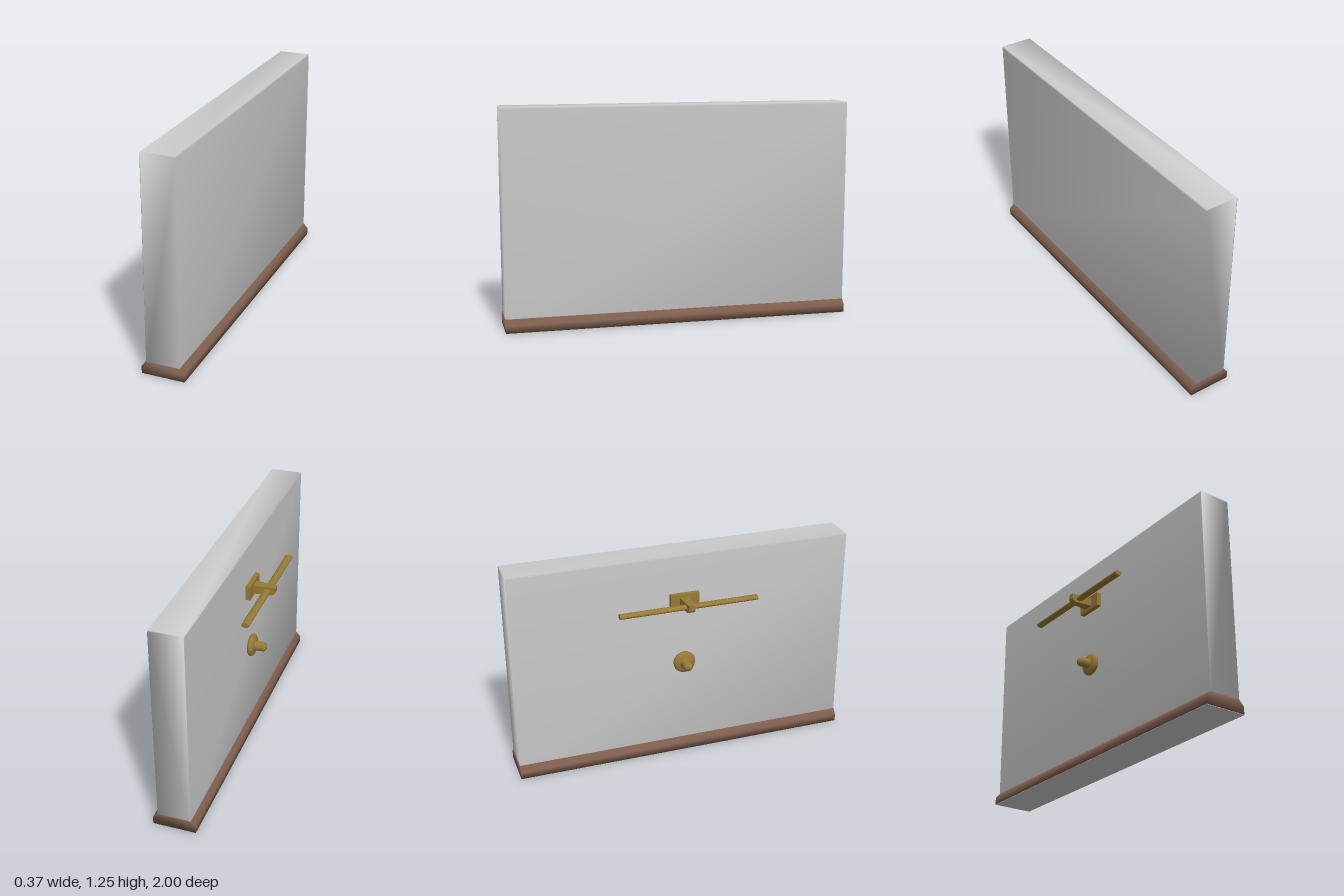
import * as THREE from 'three';
import { mergeVertices } from 'three/addons/utils/BufferGeometryUtils.js';

const grey = new THREE.MeshStandardMaterial({ color: 0xcccccc });
const brown = new THREE.MeshStandardMaterial({ color: 0x80604f });
const brass = new THREE.MeshStandardMaterial({ color: 0x967a35 });

// Extrude an x-y outline along z, centred on z = 0
function prism(points, depth) {
  const shape = new THREE.Shape(points.map(([x, y]) => new THREE.Vector2(x, y)));
  return new THREE.ExtrudeGeometry(shape, { depth, bevelEnabled: false, curveSegments: 8 })
    .translate(0, 0, -depth / 2);
}

// Share corners so that shading runs smoothly over the edges
function soften(geometry) {
  geometry.deleteAttribute('normal');
  geometry.deleteAttribute('uv');
  const merged = mergeVertices(geometry, 1e-4);
  merged.computeVertexNormals();
  return merged;
}

export function createModel() {
  const model = new THREE.Group();
  model.name = 'wallWithFixtures';

  function add(name, geometry, material, parent = model) {
    const mesh = new THREE.Mesh(geometry, material);
    mesh.name = name;
    parent.add(mesh);
    return mesh;
  }

  // Wall slab with eased top edges
  add('wall', soften(prism([
    [-0.035, 0.01], [0.157, 0.01], [0.157, 1.24], [0.153, 1.25],
    [-0.031, 1.25], [-0.035, 1.24],
  ], 1.998)), grey);

  // Skirting with chamfered top edges, and its plain underside
  add('skirting', soften(prism([
    [-0.062, 0.002], [0.185, 0.002], [0.185, 0.045], [0.157, 0.076],
    [-0.035, 0.076], [-0.062, 0.045],
  ], 2)), brown);
  add('underside', new THREE.BoxGeometry(0.247, 0.002, 2).translate(0.0615, 0.001, 0), grey);

  // Rail holder: mounting plate, tapered arm and the rail through it
  const rail = new THREE.Group();
  rail.name = 'railFixture';
  model.add(rail);
  add('mountingPlate', new THREE.BoxGeometry(0.028, 0.084, 0.17).translate(-0.049, 0.983, 0), brass, rail);

  const arm = prism([
    [-0.06, 0.958], [-0.06, 1.008], [-0.188, 1.008], [-0.188, 0.977],
    [-0.181, 0.965], [-0.165, 0.958],
  ], 0.06);
  const p = arm.attributes.position;
  for (let i = 0; i < p.count; i++) {
    const t = (p.getX(i) + 0.188) / 0.128;
    p.setZ(i, p.getZ(i) * (0.6 + 0.4 * t) - 0.003);
  }
  arm.computeVertexNormals();
  add('arm', arm, brass, rail);

  add('rail', new THREE.CylinderGeometry(1, 1, 0.81, 24)
    .rotateX(Math.PI / 2).scale(0.022, 0.014, 1).translate(-0.142, 0.983, -0.003), brass, rail);

  // Round knob: rosette, neck and domed end, turned about the x axis
  const profile = [
    [0, 0], [0.058, 0], [0.064, 0.006], [0.066, 0.014], [0.063, 0.023],
    [0.054, 0.031], [0.04, 0.034], [0.027, 0.036], [0.027, 0.08],
    [0.025, 0.089], [0.02, 0.096], [0.012, 0.101], [0, 0.103],
  ].map(([r, h]) => new THREE.Vector2(r, h));
  add('knob', new THREE.LatheGeometry(profile, 32)
    .rotateZ(Math.PI / 2).translate(-0.035, 0.59, 0), brass);

  return model;
}
